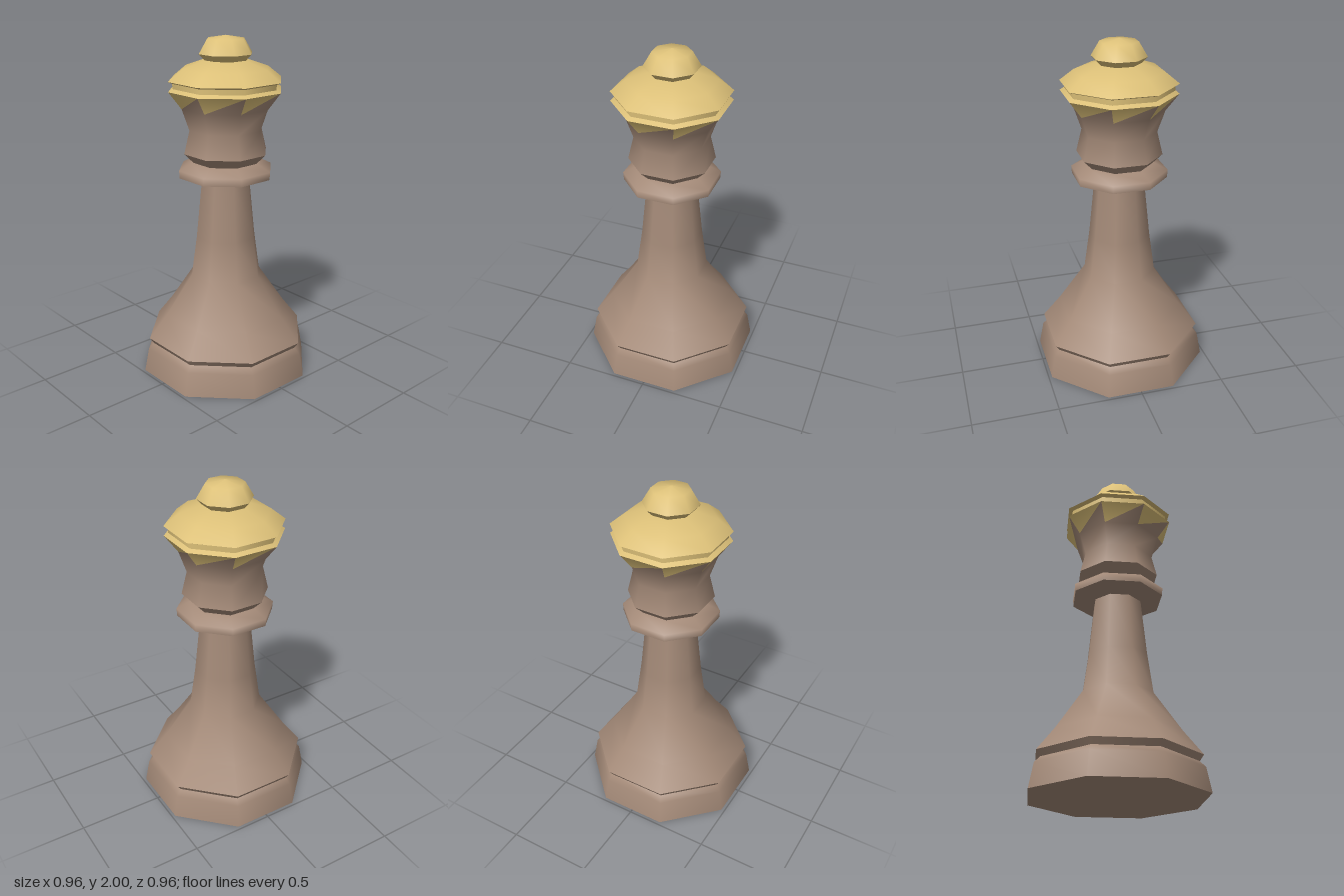
import * as THREE from 'three';

const SIDES = 8;
const brown = new THREE.MeshStandardMaterial({ color: 0xa58b79 });
brown.name = 'brown';
const gold = new THREE.MeshStandardMaterial({ color: 0xdcc078 });
gold.name = 'gold';

// Eight-sided turned shape; profile is [distance to flat side, height], bottom to top
function turned(profile) {
  const k = 1 / Math.cos(Math.PI / SIDES);
  const points = profile.map(([r, y]) => new THREE.Vector2(r * k, y));
  return new THREE.LatheGeometry(points, SIDES, Math.PI / SIDES);
}

// Each section is smooth inside, with a sharp edge to the next one
const parts = [
  ['baseUnderside', brown, [[0, 0], [0.48, 0]]],
  ['baseWall', brown, [[0.48, 0], [0.455, 0.14], [0.425, 0.175]]],
  ['bodyUnderside', brown, [[0.425, 0.175], [0.447, 0.21]]],
  ['body', brown, [[0.447, 0.21], [0.347, 0.35], [0.198, 0.59], [0.167, 0.83], [0.134, 1.18]]],
  ['collarUnderside', brown, [[0.12, 1.175], [0.15, 1.177], [0.257, 1.2]]],
  ['collar', brown, [[0.257, 1.2], [0.26, 1.245], [0.188, 1.285], [0.17, 1.285]]],
  ['neck', brown, [[0.175, 1.28], [0.23, 1.34]]],
  ['crownLedge', gold, [[0.31, 1.7], [0.287, 1.716]]],
  ['crownGroove', gold, [[0.287, 1.716], [0.287, 1.745]]],
  ['rimUnderside', gold, [[0.287, 1.745], [0.31, 1.756]]],
  ['dome', gold, [[0.31, 1.756], [0.235, 1.82], [0.115, 1.865], [0, 1.87]]],
  ['finialUnderside', gold, [[0.112, 1.862], [0.145, 1.9]]],
  ['finial', gold, [[0.145, 1.9], [0.1, 1.982], [0, 2]]],
];

// Flared head: the top band is split diagonally into brown and gold triangles
function createHead() {
  const profile = [[0.23, 1.34], [0.2, 1.475], [0.24, 1.6], [0.31, 1.7]];
  const n = profile.length;
  const geometry = turned(profile);
  const brownFaces = [], goldFaces = [];
  for (let i = 0; i < SIDES; i++) {
    for (let j = 0; j < n - 1; j++) {
      const low = i * n + j, lowNext = low + n;
      const top = low + 1, topNext = lowNext + 1;
      brownFaces.push(low, lowNext, topNext);
      (j === n - 2 ? goldFaces : brownFaces).push(low, topNext, top);
    }
  }
  geometry.setIndex([...brownFaces, ...goldFaces]);
  geometry.addGroup(0, brownFaces.length, 0);
  geometry.addGroup(brownFaces.length, goldFaces.length, 1);
  const head = new THREE.Mesh(geometry, [brown, gold]);
  head.name = 'head';
  return head;
}

export function createModel() {
  const model = new THREE.Group();
  model.name = 'chessPiece';
  for (const [name, material, profile] of parts) {
    const mesh = new THREE.Mesh(turned(profile), material);
    mesh.name = name;
    model.add(mesh);
  }
  model.add(createHead());
  return model;
}
